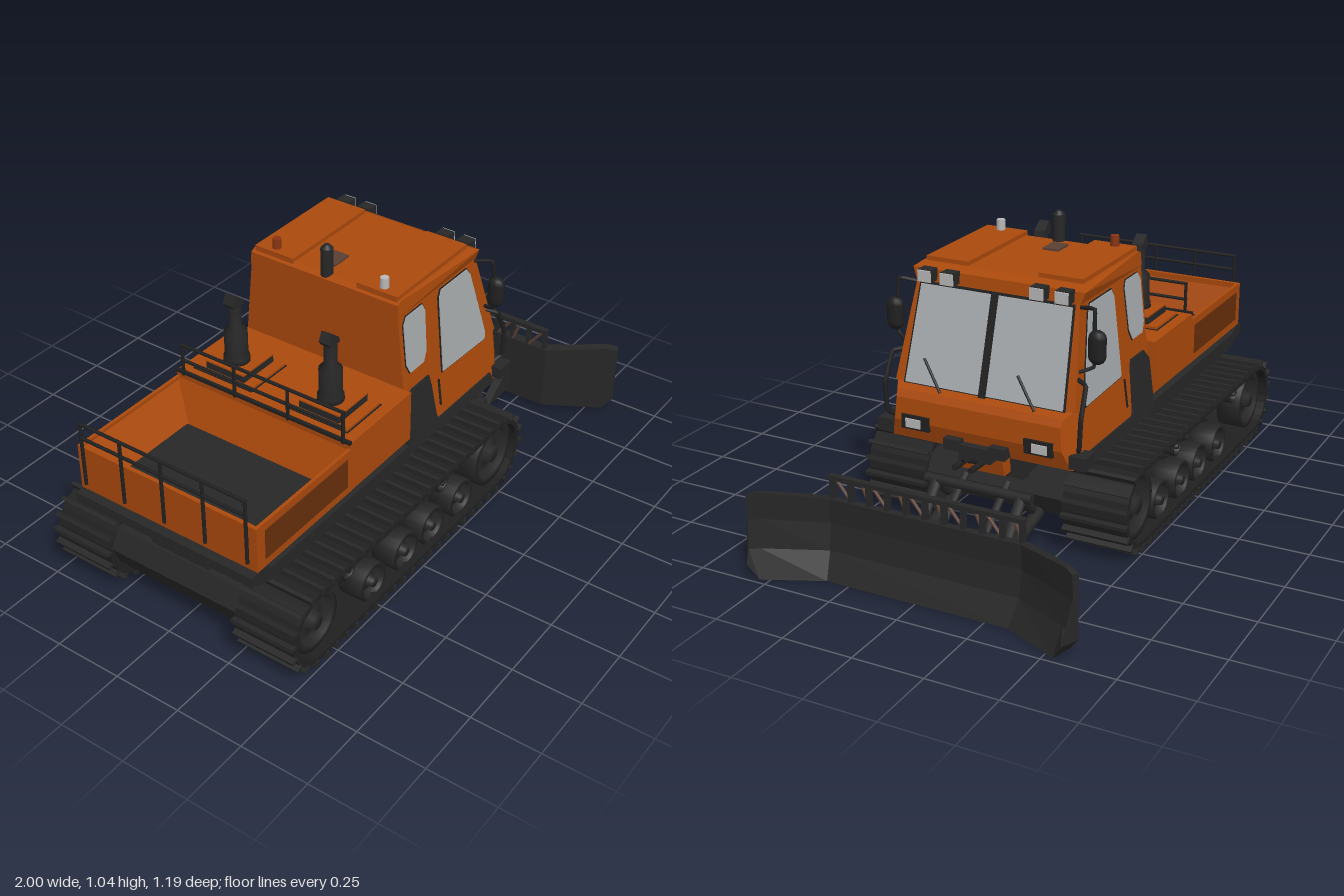
import * as THREE from 'three';

const mat = (name, color, side = THREE.FrontSide) => {
  const m = new THREE.MeshStandardMaterial({ color, side });
  m.name = name;
  return m;
};

export function createModel() {
  const orange = mat('orange paint', 0xaa490b, THREE.DoubleSide);
  const dark = mat('dark metal', 0x272727, THREE.DoubleSide);
  const black = mat('black rubber', 0x202020);
  const glass = mat('grey glass', 0xa6aaac);
  const lens = mat('lamp lens', 0xb8b8b8);
  const brown = mat('shaded mesh', 0x662e0b);
  const rust = mat('rusty steel', 0x5a4034);
  const red = mat('beacon red', 0x8a3512);
  const model = new THREE.Group();
  model.name = 'trackedSnowVehicle';

  const V = (a) => new THREE.Vector3(...a);
  const add = (name, geo, m, p = [0, 0, 0], parent = model) => {
    const mesh = new THREE.Mesh(geo, m);
    mesh.name = name;
    mesh.position.set(...p);
    parent.add(mesh);
    return mesh;
  };
  const group = (name) => {
    const g = new THREE.Group();
    g.name = name;
    model.add(g);
    return g;
  };
  // box given by its min and max corners
  const box = (name, m, a, b, parent) => add(name,
    new THREE.BoxGeometry(b[0] - a[0], b[1] - a[1], b[2] - a[2]), m,
    a.map((v, i) => (v + b[i]) / 2), parent);
  const rod = (name, m, a, b, r, parent) => {
    const d = V(b).sub(V(a));
    const mesh = add(name, new THREE.CylinderGeometry(r, r, d.length(), 8), m,
      a.map((v, i) => (v + b[i]) / 2), parent);
    mesh.quaternion.setFromUnitVectors(new THREE.Vector3(0, 1, 0), d.normalize());
    return mesh;
  };
  const tube = (name, m, pts, r, parent) => add(name, new THREE.TubeGeometry(
    new THREE.CatmullRomCurve3(pts.map(V), false, 'catmullrom', 0.1), 24, r, 6), m, [0, 0, 0], parent);
  const poly = (pts) => new THREE.Shape(pts.map((p) => new THREE.Vector2(...p)));
  // side profile spread across the vehicle, half-width w depending on height and length
  const slab = (name, m, pts, w, parent) => {
    const g = new THREE.ExtrudeGeometry(poly(pts), { depth: 2, bevelEnabled: false });
    const p = g.attributes.position;
    for (let i = 0; i < p.count; i++) p.setZ(i, (p.getZ(i) - 1) * w(p.getY(i), p.getX(i)));
    g.computeVertexNormals();
    return add(name, g, m, [0, 0, 0], parent);
  };

  // ---- cab shell, nose narrowing to the front
  const cab = group('cab');
  const low = (y) => 0.36 - (y - 0.36) * 0.13;
  const up = (y) => 0.335 - (y - 0.55) * 0.105;
  slab('cabLower', orange, [[-0.14, 0.36], [0.42, 0.36], [0.42, 0.55], [-0.14, 0.55]], low, cab);
  slab('nose', orange, [[0.42, 0.36], [0.46, 0.36], [0.485, 0.43], [0.48, 0.51], [0.465, 0.535], [0.435, 0.55], [0.42, 0.55]],
    (y, x) => low(y) - (x - 0.42) * 0.6, cab);
  slab('cabUpper', orange, [[-0.14, 0.55], [0.435, 0.55], [0.335, 0.88], [-0.14, 0.88]], up, cab);
  slab('roof', orange, [[-0.14, 0.88], [0.335, 0.88], [0.33, 0.92], [0.3, 0.935], [-0.12, 0.935], [-0.14, 0.925]],
    (y) => (y < 0.9 ? 0.303 : y < 0.925 ? 0.318 : 0.3), cab);
  slab('chin', orange, [[0.4, 0.28], [0.44, 0.28], [0.465, 0.37], [0.4, 0.37]], () => 0.08, cab);
  for (const s of [1, -1]) box('roofRidge', orange, [-0.13, 0.93, s * 0.21 - 0.08], [0.29, 0.95, s * 0.21 + 0.08], cab);

  // ---- windows and dark side panels
  const win = (name, pts) => {
    const c = pts.reduce((a, p) => [a[0] + p[0] / pts.length, a[1] + p[1] / pts.length], [0, 0]);
    const seal = pts.map((p) => [c[0] + (p[0] - c[0]) * 1.04, c[1] + (p[1] - c[1]) * 1.025]);
    slab(name + 'Seal', black, seal, (y) => up(y) + 0.003, cab);
    slab(name, glass, pts, (y) => up(y) + 0.006, cab);
  };
  win('doorWindow', [[0.09, 0.56], [0.36, 0.55], [0.365, 0.58], [0.29, 0.84], [0.27, 0.866], [0.11, 0.866], [0.095, 0.84]]);
  win('rearSideWindow', [[-0.1, 0.655], [-0.02, 0.655], [0, 0.69], [0.008, 0.84], [-0.005, 0.866], [-0.1, 0.866], [-0.118, 0.84], [-0.118, 0.69]]);
  slab('sidePanelLower', dark, [[-0.14, 0.36], [0.06, 0.36], [0.03, 0.42], [0.015, 0.55], [-0.14, 0.55]], (y) => low(y) + 0.006, cab);
  slab('sidePanelUpper', dark, [[-0.14, 0.55], [0.015, 0.55], [0.005, 0.59], [-0.1, 0.59]], (y) => up(y) + 0.006, cab);
  slab('sill', dark, [[0.04, 0.355], [0.4, 0.355], [0.38, 0.4], [0.035, 0.4]], (y) => low(y) + 0.006, cab);
  slab('doorHandle', black, [[0.06, 0.44], [0.068, 0.44], [0.068, 0.54], [0.06, 0.54]], (y) => low(y) + 0.004, cab);
  // windscreen lies on the sloped face
  const onSlope = (y, o) => 0.435 - (y - 0.55) * 0.303 + o;
  const screen = (name, m, y0, y1, o, w) => slab(name, m,
    [[onSlope(y0, -0.01), y0], [onSlope(y0, o), y0], [onSlope(y1, o), y1], [onSlope(y1, -0.01), y1]], w, cab);
  const pane = (y) => 0.294 - (y - 0.55) * 0.045;
  screen('windscreenSeal', black, 0.546, 0.878, 0.004, (y) => pane(y) + 0.007);
  screen('windscreen', glass, 0.552, 0.87, 0.008, pane);
  screen('windscreenDivider', black, 0.546, 0.878, 0.012, () => 0.013);
  for (const z of [0.15, -0.2]) {
    rod('wiper', black, [onSlope(0.54, 0.02), 0.54, z], [onSlope(0.64, 0.02), 0.64, z + 0.075], 0.005, cab);
  }

  // ---- lamps, mirrors, handles
  for (const z of [0.25, 0.165, -0.165, -0.255]) {
    box('roofLampHousing', dark, [0.33, 0.885, z - 0.025], [0.372, 0.928, z + 0.025], cab);
    box('roofLampLens', lens, [0.37, 0.887, z - 0.024], [0.378, 0.926, z + 0.024], cab);
  }
  for (const s of [1, -1]) {
    box('headlightFrame', black, [0.45, 0.405, s * 0.23 - 0.052], [0.492, 0.455, s * 0.23 + 0.052], cab);
    box('headlightLens', lens, [0.488, 0.413, s * 0.236 - 0.028], [0.497, 0.444, s * 0.236 + 0.028], cab);
    add('mirror', new THREE.CapsuleGeometry(0.028, 0.06, 4, 12), black, [0.36, 0.757, s * 0.375], cab).scale.set(0.9, 1, 1.1);
    tube('mirrorArm', black, [[0.33, 0.87, s * 0.3], [0.35, 0.88, s * 0.36], [0.36, 0.81, s * 0.365], [0.36, 0.69, s * 0.365], [0.38, 0.67, s * 0.32]], 0.007, cab);
    tube('grabRail', black, [[0.39, 0.65, s * 0.32], [0.41, 0.64, s * 0.36], [0.455, 0.54, s * 0.365], [0.455, 0.44, s * 0.36], [0.43, 0.42, s * 0.345]], 0.008, cab);
    box('cornerStep', dark, [0.4, 0.37, s * 0.36 - 0.03], [0.47, 0.415, s * 0.36 + 0.03], cab);
    add('beacon', new THREE.CylinderGeometry(0.015, 0.016, 0.04, 12), s > 0 ? lens : red, [-0.1, 0.967, s * 0.22], cab);
    box('winchBlock', dark, [0.45, 0.365, s * 0.085 - 0.03], [0.505, 0.405, s * 0.085 + 0.03], cab);
  }
  box('frontCoupling', dark, [0.4, 0.34, -0.06], [0.5, 0.39, 0.06], cab);
  box('roofHatchCap', rust, [-0.07, 0.93, -0.06], [0.01, 0.942, 0], cab);
  add('intakeStack', new THREE.CylinderGeometry(0.022, 0.022, 0.15, 16), dark, [-0.115, 0.955, 0], cab);
  add('intakeCap', new THREE.CylinderGeometry(0.01, 0.022, 0.015, 16), dark, [-0.115, 1.035, 0], cab);

  // ---- engine deck and exhausts
  const deck = group('engineDeck');
  box('engineHousing', orange, [-0.485, 0.42, -0.36], [-0.14, 0.61, 0.36], deck);
  for (const s of [1, -1]) {
    box('hatchSeam', black, [-0.447, 0.605, s * 0.195 - 0.125], [-0.253, 0.612, s * 0.195 + 0.125], deck);
    box('hatchPlate', orange, [-0.442, 0.61, s * 0.195 - 0.12], [-0.258, 0.62, s * 0.195 + 0.12], deck);
    box('hatchRim', dark, [-0.43, 0.62, s * 0.195 - 0.08], [-0.27, 0.645, s * 0.195 + 0.08], deck);
    box('hatchLid', orange, [-0.43, 0.645, s * 0.195 - 0.08], [-0.27, 0.65, s * 0.195 + 0.08], deck);
    const prof = [[0, 0.64], [0.047, 0.64], [0.045, 0.67], [0.04, 0.68], [0.04, 0.77], [0.022, 0.79], [0.022, 0.87]];
    add('exhaust', new THREE.LatheGeometry(prof.map((p) => new THREE.Vector2(...p)), 16), dark, [-0.365, 0, s * 0.195], deck);
    slab('exhaustTip', dark, [[-0.39, 0.865], [-0.34, 0.865], [-0.345, 0.885], [-0.385, 0.915], [-0.4, 0.88]], () => 0.02, deck).position.z = s * 0.195;
  }
  box('deckEdge', black, [-0.49, 0.605, -0.36], [-0.478, 0.616, 0.36], deck);

  // ---- load bed: thin walls, sloping tray, dark floor
  const bed = group('loadBed');
  for (const s of [1, -1]) {
    box('bedSide', orange, [-0.97, 0.42, s * 0.355 - 0.006], [-0.48, 0.588, s * 0.355 + 0.006], bed);
    box('bedMesh', brown, [-0.93, 0.45, s * 0.3615 - 0.002], [-0.505, 0.56, s * 0.3615 + 0.002], bed);
  }
  box('bedTail', orange, [-0.97, 0.42, -0.355], [-0.955, 0.588, 0.355], bed);
  const tray = new THREE.CylinderGeometry(Math.SQRT1_2, Math.SQRT1_2 * 0.76, 1, 4, 1, true).rotateY(Math.PI / 4).toNonIndexed();
  tray.computeVertexNormals();
  add('bedTray', tray, orange, [-0.725, 0.52, 0], bed).scale.set(0.475, 0.13, 0.71);
  box('bedFloor', dark, [-0.895, 0.44, -0.28], [-0.55, 0.458, 0.28], bed);

  // ---- railings across the vehicle
  const railing = (name, x, y0, y1, posts) => {
    const g = group(name);
    for (let i = 0; i < posts; i++) {
      const z = -0.33 + (0.66 * i) / (posts - 1);
      rod('post', black, [x, y0, z], [x, y1, z], 0.006, g);
    }
    for (const y of [y1, (y1 + Math.max(y0, 0.58)) / 2]) rod('bar', black, [x, y, -0.335], [x, y, 0.335], 0.006, g);
  };
  railing('tailRailing', -0.98, 0.45, 0.69, 5);
  railing('deckRailing', -0.485, 0.6, 0.72, 4);

  // ---- chassis
  const chassis = group('chassis');
  slab('deckFrame', dark, [[-1, 0.38], [-0.9, 0.345], [-0.14, 0.335], [-0.14, 0.39], [-0.9, 0.395], [-0.95, 0.42], [-1, 0.415]], () => 0.36, chassis);
  slab('cabFrame', dark, [[-0.14, 0.33], [0.4, 0.33], [0.44, 0.36], [-0.14, 0.37]], () => 0.33, chassis);
  slab('belly', dark, [[-0.965, 0.2], [-0.93, 0.12], [-0.85, 0.09], [0.25, 0.09], [0.34, 0.13], [0.37, 0.2], [0.34, 0.26], [-0.93, 0.27]], () => 0.265, chassis);
  for (let i = 0; i < 5; i++) box('bellyBeam', dark, [-0.74 + i * 0.22, 0.07, -0.27], [-0.69 + i * 0.22, 0.1, 0.27], chassis);
  box('spine', dark, [-0.92, 0.25, -0.12], [0.38, 0.35, 0.12], chassis);

  // ---- tracks: belt around two end circles, with cleats
  const R = { x: -0.838, y: 0.17, r: 0.135 }, F = { x: 0.235, y: 0.172, r: 0.142 };
  const outline = (d) => {
    const pts = [];
    for (const [c, a0] of [[F, -Math.PI / 2], [R, Math.PI / 2]]) for (let i = 0; i <= 14; i++) {
      const a = a0 + (Math.PI * i) / 14;
      pts.push(new THREE.Vector2(c.x + (c.r + d) * Math.cos(a), c.y + (c.r + d) * Math.sin(a)));
    }
    return pts;
  };
  const beltShape = new THREE.Shape(outline(0));
  beltShape.holes.push(new THREE.Path(outline(-0.018)));
  const beltGeo = new THREE.ExtrudeGeometry(beltShape, { depth: 0.235, bevelEnabled: false });
  const path = new THREE.Shape([...outline(0.008), outline(0.008)[0]]);
  const cleatGeo = new THREE.BoxGeometry(0.013, 0.026, 0.24);
  const wheelProf = (r) => [[0, 0.05], [r * 0.25, 0.05], [r * 0.3, 0.025], [r * 0.7, 0.015], [r * 0.78, 0.045], [r, 0.045], [r, -0.045], [0, -0.045]].reverse().map((p) => new THREE.Vector2(...p));
  for (const s of [1, -1]) {
    const g = group(s > 0 ? 'nearTrack' : 'farTrack');
    add('belt', beltGeo, black, [0, 0, s > 0 ? 0.26 : -0.495], g);
    for (let i = 0; i < 56; i++) {
      const p = path.getPointAt(i / 56), t = path.getTangentAt(i / 56);
      add('cleat', cleatGeo, dark, [p.x, p.y, s * 0.38], g).rotation.z = Math.atan2(t.y, t.x);
    }
    const wheel = (name, x, y, r) => {
      add(name, new THREE.LatheGeometry(wheelProf(r), 24), dark, [x, y, s * 0.425], g).rotation.x = s * Math.PI / 2;
    };
    wheel('sprocket', -0.825, R.y, 0.11);
    wheel('idler', F.x, F.y, 0.122);
    for (const x of [-0.51, -0.32, -0.155, 0.03]) wheel('roadWheel', x, 0.105, 0.072);
    for (const x of [-0.65, -0.1]) wheel('returnRoller', x, 0.255, 0.035);
    box('trackBeam', dark, [-0.58, 0.16, s * 0.32 - 0.06], [0.18, 0.23, s * 0.32 + 0.06], g);
    for (const x of [-0.5, -0.3, -0.12]) {
      rod('suspensionArm', dark, [x - 0.09, 0.27, s * 0.41], [x, 0.2, s * 0.41], 0.018, g);
      rod('suspensionArm', dark, [x, 0.2, s * 0.41], [x + 0.09, 0.27, s * 0.41], 0.014, g);
    }
  }

  // ---- blade: concave section lofted along z, wings swept forward with square ends
  const blade = group('blade');
  const sec = [[0.8, 0.29], [0.835, 0.295], [0.83, 0.2], [0.845, 0.1], [0.89, 0.005], [0.8, 0.015]];
  // station: z, sweep 0..1, height scale, lowest y
  const st = [[-0.595, 1, 0.97, 0.06], [-0.56, 0.85, 1, 0], [-0.36, 0, 0.92, 0], [0.36, 0, 0.92, 0], [0.56, 0.85, 1, 0], [0.595, 1, 0.97, 0.06]];
  const pos = [], idx = [];
  for (const [z, k, h, lift] of st) for (const [x, y] of sec) {
    const t = x - 0.8;
    pos.push(0.8 + t * (1 - 0.3 * k) + 0.135 * k, Math.max(y * h, lift), z - Math.sign(z) * t * 0.3);
  }
  for (let i = 0; i < 5; i++) for (let j = 0; j < 6; j++) {
    const a = i * 6 + j, b = i * 6 + (j + 1) % 6;
    idx.push(a, b, a + 6, b, b + 6, a + 6);
  }
  for (let j = 1; j < 5; j++) idx.push(0, j + 1, j, 30, 30 + j, 31 + j);
  let bg = new THREE.BufferGeometry();
  bg.setAttribute('position', new THREE.Float32BufferAttribute(pos, 3));
  bg.setIndex(idx);
  bg = bg.toNonIndexed();
  bg.computeVertexNormals();
  add('bladePlate', bg, dark, [0, 0, 0], blade);
  // guard rack along the top edge
  box('rackTop', dark, [0.803, 0.335, -0.355], [0.825, 0.35, 0.355], blade);
  for (let i = 0; i <= 10; i++) {
    const z = -0.345 + i * 0.069;
    box('rackPost', dark, [0.803, 0.25, z - 0.007], [0.825, 0.34, z + 0.007], blade);
    if (i < 10) rod('rackBrace', rust, [0.808, 0.26, z], [0.808, 0.335, z + (i % 2 ? 0.06 : 0.03)], 0.006, blade);
  }

  // ---- lift linkage between chassis and blade
  const lift = group('liftLinkage');
  for (const s of [1, -1]) {
    for (const z of [0.11, 0.195]) {
      slab('pushBracket', dark, [[0.65, 0.035], [0.81, 0.035], [0.81, 0.17], [0.76, 0.12]], () => 0.016, lift).position.z = s * z;
    }
    rod('lowerArm', dark, [0.35, 0.13, s * 0.16], [0.66, 0.05, s * 0.16], 0.022, lift);
    rod('liftRam', dark, [0.47, 0.235, s * 0.16], [0.62, 0.07, s * 0.16], 0.02, lift);
    rod('ramLink', dark, [0.4, 0.16, s * 0.16], [0.48, 0.235, s * 0.16], 0.018, lift);
    rod('upperRam', dark, [0.42, 0.25, s * 0.08], [0.61, 0.1, s * 0.08], 0.014, lift);
    rod('hoseCoupling', black, [0.43, 0.34, s * 0.03], [0.58, 0.345, s * 0.03], 0.01, lift);
    rod('hoseCoupling', black, [0.45, 0.32, s * 0.012], [0.57, 0.375, s * 0.012], 0.008, lift);
  }
  rod('crossShaft', dark, [0.62, 0.06, -0.21], [0.62, 0.06, 0.21], 0.02, lift);
  rod('upperShaft', dark, [0.475, 0.235, -0.2], [0.475, 0.235, 0.2], 0.018, lift);
  return model;
}
